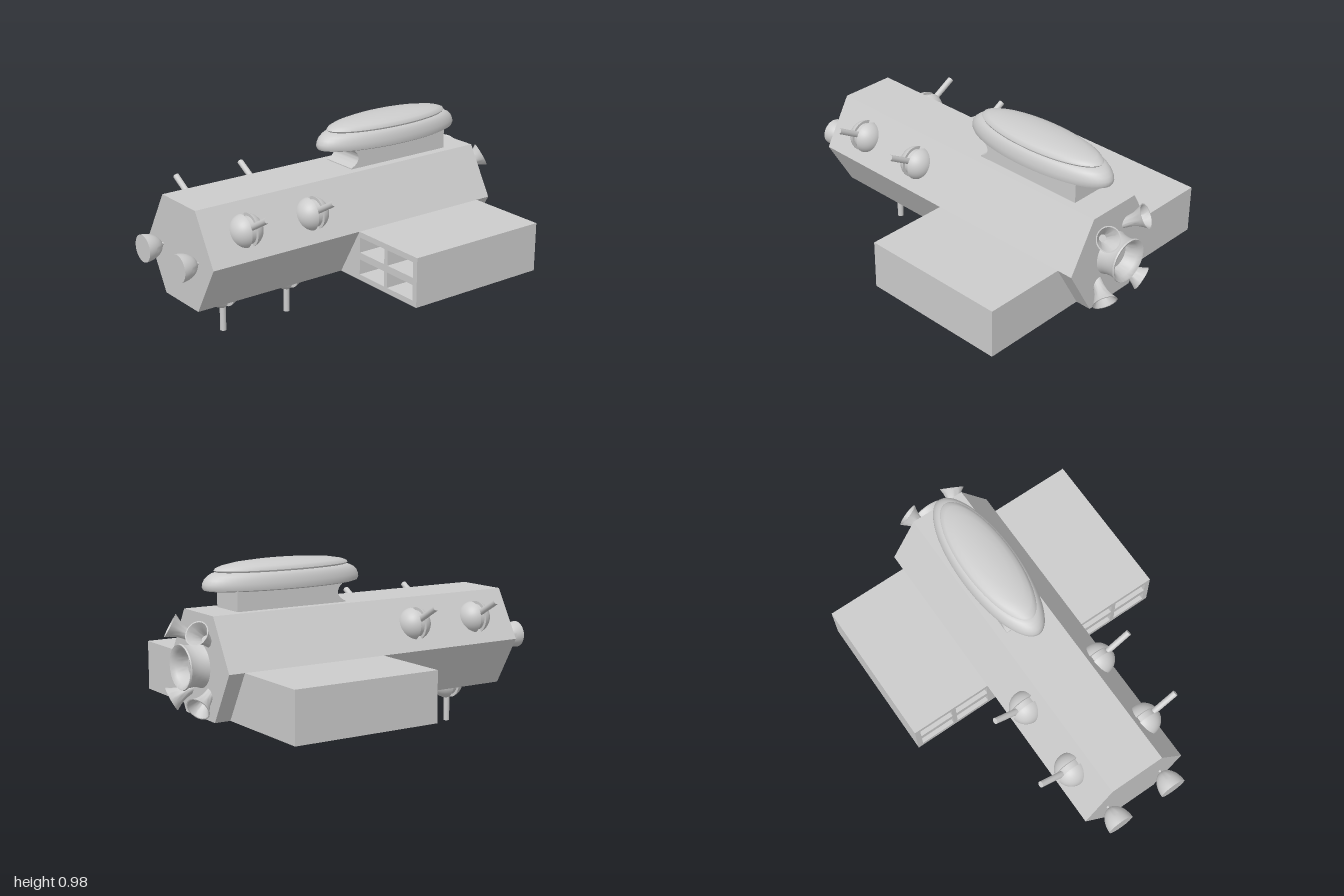
import * as THREE from 'three';
import { toCreasedNormals } from 'three/addons/utils/BufferGeometryUtils.js';

const grey = new THREE.MeshStandardMaterial({ color: 0xcccccc });
const greyBoth = new THREE.MeshStandardMaterial({ color: 0xcccccc, side: THREE.DoubleSide });

function part(name, geometry, parent, material = grey) {
  const mesh = new THREE.Mesh(geometry, material);
  mesh.name = name;
  parent.add(mesh);
  return mesh;
}

const vectors = (points) => points.map(([x, y]) => new THREE.Vector2(x, y));

function lathe(points, segments = 40) {
  return toCreasedNormals(new THREE.LatheGeometry(vectors(points), segments), 0.7);
}

function extrude(shape, depth) {
  return new THREE.ExtrudeGeometry(shape, { depth, bevelEnabled: false, curveSegments: 16 });
}

function rectangle(Type, x0, x1, y0, y1) {
  return new Type(vectors([[x0, y0], [x1, y0], [x1, y1], [x0, y1]]));
}

// Split ball with a recessed core and a barrel along local +y
function makeTurret() {
  const turret = new THREE.Group();
  turret.name = 'turret';
  const r = 0.087, gap = 0.017;
  for (const side of [1, -1]) {
    const half = part('turretShell', new THREE.SphereGeometry(r, 32, 14, 0, Math.PI * 2, 0, Math.acos(gap / r)), turret);
    half.rotation.x = side * Math.PI / 2;
    const cheek = part('turretCheek', new THREE.CircleGeometry(Math.sqrt(r * r - gap * gap), 32), turret);
    cheek.position.z = side * gap;
    if (side > 0) cheek.rotation.y = Math.PI;
  }
  const core = part('turretCore', new THREE.CylinderGeometry(0.07, 0.07, gap * 2, 32), turret);
  core.rotation.x = Math.PI / 2;
  const barrel = part('barrel', new THREE.CylinderGeometry(0.016, 0.016, 0.215, 16), turret);
  barrel.position.y = 0.1075;
  return turret;
}

// Box with four launch bays cut into its front
function makeHangar(side) {
  const hangar = new THREE.Group();
  hangar.name = side > 0 ? 'leftHangar' : 'rightHangar';
  const span = (a, b) => (side > 0 ? [a, b] : [-b, -a]);
  const shape = rectangle(THREE.Shape, ...span(0.15, 0.75), 0.215, 0.477);
  for (const [a, b] of [[0.305, 0.5], [0.525, 0.72]]) {
    for (const [y0, y1] of [[0.245, 0.327], [0.365, 0.447]]) {
      shape.holes.push(rectangle(THREE.Path, ...span(a, b), y0, y1));
    }
  }
  part('hangarBays', extrude(shape, 0.4), hangar).position.z = -0.39;
  const solid = rectangle(THREE.Shape, ...span(0.15, 0.75), 0.215, 0.477);
  part('hangarRear', extrude(solid, 0.405), hangar).position.z = -0.795;
  return hangar;
}

export function createModel() {
  const model = new THREE.Group();
  model.name = 'spaceship';

  // Hexagonal hull
  const hex = new THREE.Shape(vectors([
    [-0.15, 0.215], [0.15, 0.215], [0.3, 0.477], [0.15, 0.737], [-0.15, 0.737], [-0.3, 0.477],
  ]));
  part('hull', extrude(hex, 1.765), model).position.z = -0.88;

  // Hangars, front dishes
  for (const side of [1, -1]) {
    model.add(makeHangar(side));

    const bowl = [];
    for (let i = 0; i <= 12; i++) {
      const a = (i / 12) * Math.PI / 2;
      bowl.push([0.071 * Math.sin(a), -0.105 * Math.cos(a)]);
    }
    bowl.push([0, 0]);
    const dish = part('frontDish', lathe(bowl), model);
    dish.rotation.x = Math.PI / 2;
    dish.position.set(side * 0.163, 0.474, 1);
    const stalk = part('dishStalk', new THREE.CylinderGeometry(0.008, 0.008, 0.05, 12), model);
    stalk.rotation.x = Math.PI / 2;
    stalk.position.set(side * 0.163, 0.474, 0.89);
  }

  // Two rows of three turrets, on the upper slopes and the belly
  for (const z of [0.65, 0.255]) {
    for (const [x, y, turn] of [[0.225, 0.607, -Math.PI / 3], [-0.225, 0.607, Math.PI / 3], [0, 0.215, Math.PI]]) {
      const turret = makeTurret();
      turret.position.set(x, y, z);
      turret.rotation.z = turn;
      model.add(turret);
    }
  }

  // Bridge neck with a hollowed front, drawn in (z, y)
  const neckShape = new THREE.Shape();
  neckShape.moveTo(-0.72, 0.73);
  neckShape.lineTo(-0.09, 0.73);
  neckShape.lineTo(-0.09, 0.742);
  neckShape.bezierCurveTo(-0.15, 0.765, -0.15, 0.81, -0.1, 0.84);
  neckShape.lineTo(-0.72, 0.84);
  const neck = part('bridgeNeck', toCreasedNormals(extrude(neckShape, 0.206), 0.7), model);
  neck.rotation.y = -Math.PI / 2;
  neck.position.x = 0.103;

  // Oval bridge: a flat-bottomed rim with a lens on top
  const rim = part('bridgeRim', lathe([
    [0, 0.834], [0.42, 0.834], [0.441, 0.839], [0.449, 0.853], [0.447, 0.87], [0.437, 0.89],
    [0.418, 0.907], [0.398, 0.917], [0.37, 0.924], [0, 0.924],
  ], 64), model);
  const lens = part('bridgeLens', lathe([
    [0, 0.918], [0.36, 0.92], [0.378, 0.925], [0.384, 0.932], [0.376, 0.941], [0.345, 0.952],
    [0.28, 0.963], [0.18, 0.971], [0.08, 0.975], [0, 0.976],
  ], 64), model);
  for (const oval of [rim, lens]) oval.position.z = -0.403;
  rim.scale.x = 0.345;
  lens.scale.x = 0.34;

  // Main engine: waisted ring with a recessed throat
  const engine = part('mainEngine', lathe([
    [0.113, 0], [0.106, 0.02], [0.103, 0.05], [0.106, 0.08], [0.115, 0.098], [0.112, 0.105],
    [0.104, 0.103], [0.09, 0.085], [0.078, 0.055], [0.074, 0.025], [0, 0.025],
  ], 48), model, greyBoth);
  engine.rotation.x = -Math.PI / 2;
  engine.position.set(0, 0.476, -0.88);

  // Four flared thrusters splayed around it
  const bell = lathe([
    [0.026, -0.02], [0.028, 0.03], [0.036, 0.065], [0.05, 0.095], [0.064, 0.118],
    [0.058, 0.118], [0.042, 0.093], [0.028, 0.065], [0.018, 0.04], [0, 0.04],
  ], 32);
  const up = new THREE.Vector3(0, 1, 0);
  for (const sx of [1, -1]) {
    for (const sy of [1, -1]) {
      const thruster = part('thruster', bell, model, greyBoth);
      thruster.position.set(sx * 0.093, 0.476 + sy * 0.128, -0.872);
      thruster.quaternion.setFromUnitVectors(up, new THREE.Vector3(sx * 0.42, sy * 0.5, -0.82).normalize());
    }
  }
  return model;
}
